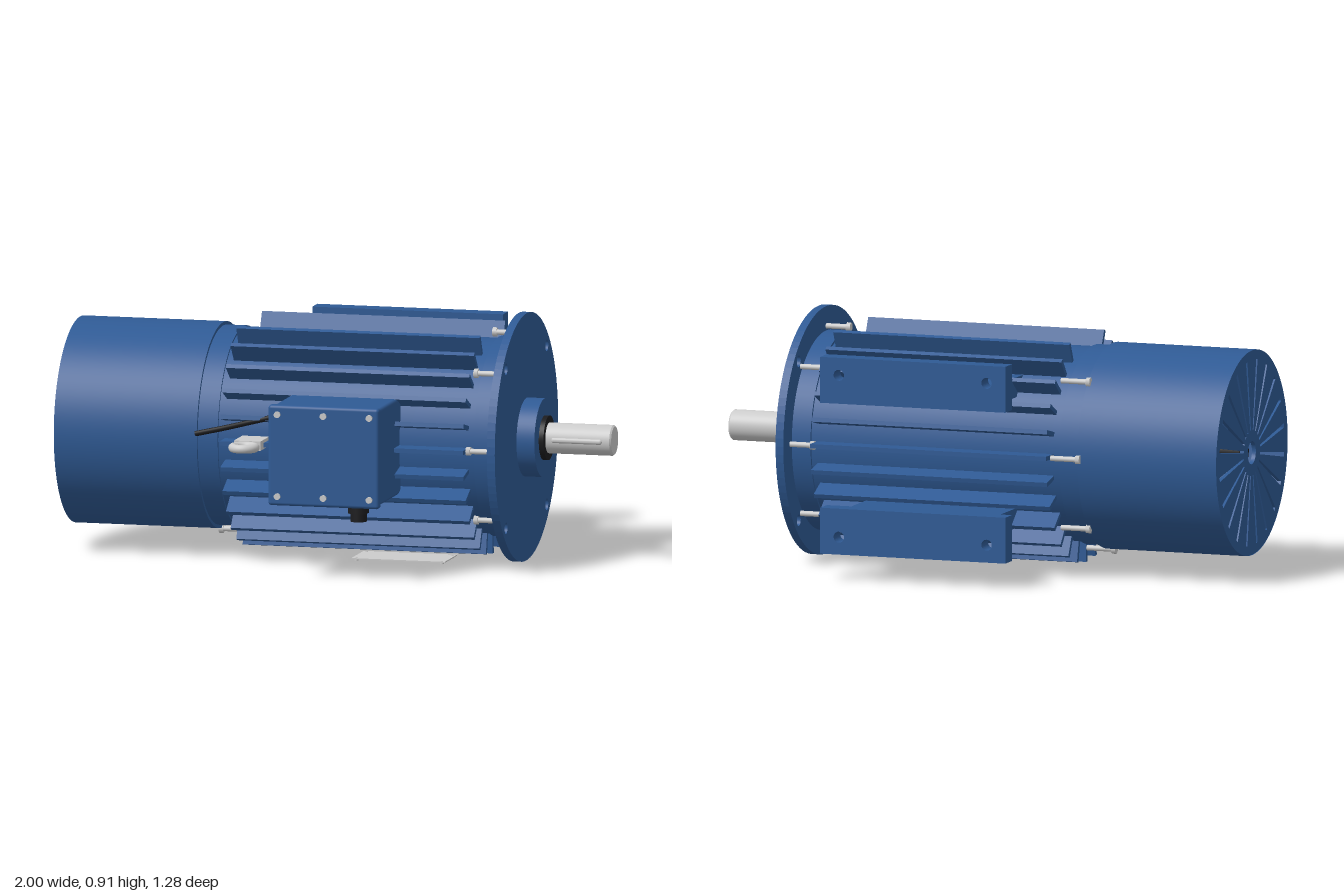
import * as THREE from 'three';
import { RoundedBoxGeometry } from 'three/addons/geometries/RoundedBoxGeometry.js';

const blue = new THREE.MeshStandardMaterial({ color: 0x2f5a94 });
const blueThin = new THREE.MeshStandardMaterial({ color: 0x2f5a94, side: THREE.DoubleSide });
const grey = new THREE.MeshStandardMaterial({ color: 0xcccccc });
const black = new THREE.MeshStandardMaterial({ color: 0x1c1c1e });

const AXIS_Y = 0.455, AXIS_Z = -0.047, RAD = Math.PI / 180;

function add(parent, name, geometry, material = blue) {
  const mesh = new THREE.Mesh(geometry, material);
  mesh.name = name;
  parent.add(mesh);
  return mesh;
}

// Cylinder along x from x0 to x1
function rod(x0, x1, r0, r1 = r0, segments = 64, open = false) {
  return new THREE.CylinderGeometry(r1, r0, x1 - x0, segments, 1, open)
    .rotateZ(-Math.PI / 2).translate((x0 + x1) / 2, 0, 0);
}

// Box from its minimum and maximum on each axis
function block(x0, x1, y0, y1, z0, z1) {
  return new THREE.BoxGeometry(x1 - x0, y1 - y0, z1 - z0)
    .translate((x0 + x1) / 2, (y0 + y1) / 2, (z0 + z1) / 2);
}

function circlePath(x, y, r) {
  return new THREE.Path().absarc(x, y, r, 0, Math.PI * 2, true);
}

// Disc across the x axis with holes cut in it
function disc(x0, x1, r, holes) {
  const shape = new THREE.Shape().absarc(0, 0, r, 0, Math.PI * 2, false);
  shape.holes = holes;
  return new THREE.ExtrudeGeometry(shape, { depth: x1 - x0, bevelEnabled: false, curveSegments: 48 })
    .rotateY(Math.PI / 2).translate(x0, 0, 0);
}

// Everything turned about the shaft axis
function createRotaryParts() {
  const g = new THREE.Group();
  g.name = 'motorBody';
  g.position.set(0, AXIS_Y, AXIS_Z);

  // Housing and its end rings
  add(g, 'housing', rod(-0.5, 0.642, 0.355));
  add(g, 'rearEndRing', rod(-0.47, -0.39, 0.363));
  add(g, 'frontEndRing', rod(0.568, 0.642, 0.364));

  // Cooling fins, leaving the top of the housing smooth
  const fins = new THREE.Group();
  fins.name = 'coolingFins';
  g.add(fins);
  for (let i = -19; i <= 5; i++) {
    const fin = add(fins, 'coolingFin', block(-0.365, 0.545, -0.008, 0.008, 0.34, 0.431));
    fin.rotation.x = -i * 12.9 * RAD;
  }

  // Mounting flange with four bolt holes
  const boltHoles = [-1, 1].flatMap(a => [-1, 1].map(b => circlePath(a * 0.291, b * 0.291, 0.021)));
  add(g, 'mountingFlange', disc(0.64, 0.67, 0.4525, boltHoles));
  add(g, 'bearingBoss', rod(0.66, 0.737, 0.143));
  add(g, 'shaftSeal', rod(0.73, 0.755, 0.081), black);

  // Shaft and key
  add(g, 'shaft', rod(0.72, 0.994, 0.056), grey);
  add(g, 'shaftChamfer', rod(0.994, 1, 0.056, 0.051), grey);
  add(g, 'shaftKey', new RoundedBoxGeometry(0.19, 0.02, 0.03, 3, 0.009).translate(0.872, 0, 0.047), grey);

  // Fan cover with a slotted grille
  add(g, 'fanCover', rod(-1, -0.465, 0.375, 0.375, 96, true), blueThin);
  add(g, 'fanCoverRim', new THREE.RingGeometry(0.35, 0.375, 96)
    .rotateY(Math.PI / 2).translate(-0.465, 0, 0), blueThin);
  const slots = [circlePath(0, 0, 0.042)];
  for (let i = 0; i < 20; i++) {
    const a = (i + 0.5) * Math.PI / 10;
    const at = (r, w) => new THREE.Vector2(r * Math.cos(a) - w * Math.sin(a), r * Math.sin(a) + w * Math.cos(a));
    slots.push(new THREE.Path([at(0.085, 0.004), at(0.34, 0.008), at(0.34, -0.008), at(0.085, -0.004)]));
  }
  add(g, 'fanGrille', disc(-1, -0.985, 0.374, slots));
  add(g, 'fanHub', rod(-0.97, -0.5, 0.05, 0.05, 32), black);

  // End-cover bolts
  const bolt = (name, degrees, x0, x1, headX) => {
    const b = new THREE.Group();
    b.name = name;
    b.rotation.x = -degrees * RAD;
    add(b, 'boltShank', rod(x0, x1, 0.01, 0.01, 16).translate(0, 0, 0.38), grey);
    add(b, 'boltHead', rod(headX, headX + 0.016, 0.017, 0.017, 6).translate(0, 0, 0.38), grey);
    g.add(b);
  };
  for (const a of [-135, -45, 0, 45, 90, 135, 180]) bolt('frontBolt', a, 0.545, 0.642, 0.545);
  for (const a of [135, 180, 225, 270]) bolt('rearBolt', a, -0.47, -0.365, -0.478);
  return g;
}

// Foot: an arm from the housing and a drilled plate
function createFoot(side) {
  const g = new THREE.Group();
  g.name = side > 0 ? 'upperFoot' : 'lowerFoot';
  g.position.set(0.0875, AXIS_Y, 0);
  const y = (a, b) => [Math.min(side * a, side * b), Math.max(side * a, side * b)];
  add(g, 'footArm', block(-0.2875, 0.2875, ...y(0.203, 0.275), -0.58, -0.24));
  const [y0, y1] = y(0.192, 0.36);
  const plate = new THREE.Shape([[-0.357, y0], [0.357, y0], [0.357, y1], [-0.357, y1]]
    .map(p => new THREE.Vector2(...p)));
  plate.holes = [-0.285, 0.285].map(x => circlePath(x, side * 0.296, 0.02));
  add(g, 'footPlate', new THREE.ExtrudeGeometry(plate, { depth: 0.07, bevelEnabled: false, curveSegments: 16 })
    .translate(0, 0, -0.645));
  return g;
}

function createTerminalBox() {
  const g = new THREE.Group();
  g.name = 'terminalBox';
  g.position.set(0.0875, 0.459, 0);
  add(g, 'boxBody', new RoundedBoxGeometry(0.4, 0.355, 0.34, 3, 0.012).translate(0, 0, 0.448));
  add(g, 'boxLid', new RoundedBoxGeometry(0.415, 0.368, 0.036, 3, 0.012).translate(0, 0, 0.612));
  for (const x of [-0.172, 0, 0.172]) for (const y of [-0.15, 0.15]) {
    add(g, 'lidScrew', new THREE.CylinderGeometry(0.012, 0.012, 0.02, 16)
      .rotateX(Math.PI / 2).translate(x, y, 0.628), grey);
  }
  // Cable gland under the box
  add(g, 'cableGland', new THREE.CylinderGeometry(0.03, 0.03, 0.08, 24).translate(0.097, -0.21, 0.497), black);
  add(g, 'glandNut', new THREE.CylinderGeometry(0.04, 0.04, 0.04, 6).translate(0.097, -0.2, 0.497), black);
  return g;
}

function createLiftingEye() {
  const g = new THREE.Group();
  g.name = 'liftingEye';
  g.position.set(-0.25, AXIS_Y + 0.003, 0);
  add(g, 'eyeBase', block(-0.05, 0.05, -0.017, 0.017, 0.3, 0.428), grey);
  add(g, 'eyeRing', new THREE.TorusGeometry(0.041, 0.016, 16, 40)
    .rotateX(Math.PI / 2).translate(0, 0, 0.475), grey);
  return g;
}

function createNameplate() {
  const g = new THREE.Group();
  g.name = 'nameplate';
  add(g, 'plate', block(0.06, 0.41, 0.009, 0.013, -0.05, 0.125), grey);
  add(g, 'platePanel', block(0.1, 0.37, 0.007, 0.01, -0.025, 0.085), black);
  for (const x of [0.075, 0.395]) for (const z of [-0.035, 0.108]) {
    add(g, 'plateRivet', new THREE.CylinderGeometry(0.007, 0.007, 0.012, 12).translate(x, 0.008, z), grey);
  }
  return g;
}

export function createModel() {
  const model = new THREE.Group();
  model.name = 'electricMotor';
  model.add(createRotaryParts(), createFoot(1), createFoot(-1),
    createTerminalBox(), createLiftingEye(), createNameplate());

  // Cable from the fan cover to the terminal box
  const path = new THREE.CatmullRomCurve3([
    [-0.47, 0.478, 0.325], [-0.36, 0.505, 0.34], [-0.24, 0.538, 0.362], [-0.1, 0.575, 0.375],
  ].map(p => new THREE.Vector3(...p)));
  add(model, 'powerCable', new THREE.TubeGeometry(path, 24, 0.01, 10), black);
  return model;
}
